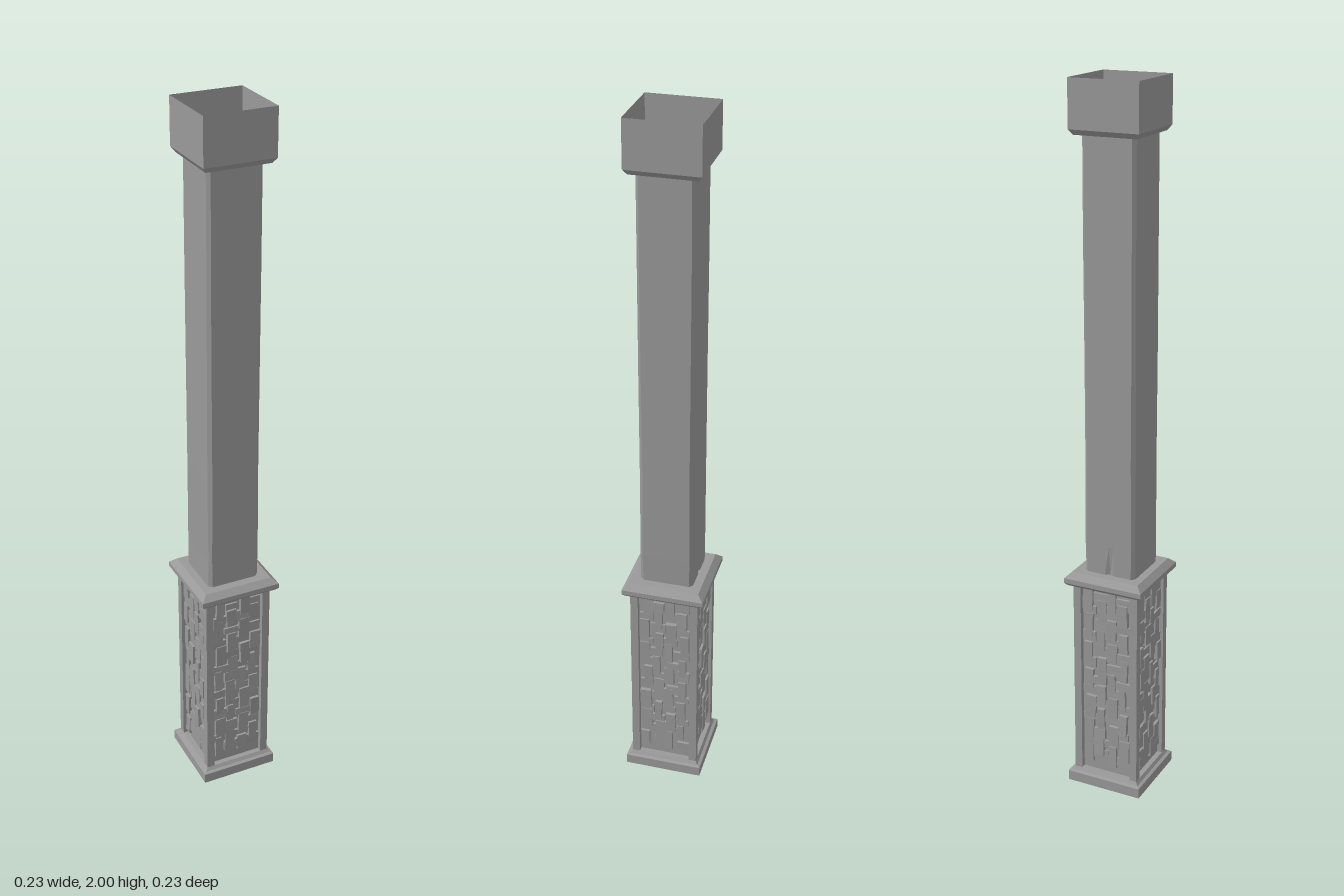
import * as THREE from 'three';

const mat = new THREE.MeshStandardMaterial({ color: 0x999999, flatShading: true, side: THREE.DoubleSide });

let seed = 7;
const rand = () => (seed = (seed * 16807) % 2147483647) / 2147483647;
const jitter = (a) => (rand() - 0.5) * 2 * a;

function add(parent, name, geometry, x = 0, y = 0, z = 0) {
  const mesh = new THREE.Mesh(geometry, mat);
  mesh.name = name;
  mesh.position.set(x, y, z);
  parent.add(mesh);
  return mesh;
}

// Square outline with cut corners and three points along each side, at height y
function squareRing(half, y, cut = 0) {
  const points = [];
  for (let i = 0; i < 4; i++) {
    for (const z of [-half + cut, -0.014, 0, 0.014, half - cut]) {
      points.push(new THREE.Vector3(half, y, z).applyAxisAngle(new THREE.Vector3(0, 1, 0), -i * Math.PI / 2));
    }
  }
  return points;
}

// Skin through a list of rings, open at both ends
function loft(rings) {
  const n = rings[0].length, index = [];
  for (let r = 0; r < rings.length - 1; r++) {
    for (let i = 0; i < n; i++) {
      const a = r * n + i, b = r * n + (i + 1) % n;
      index.push(a, a + n, b, b, a + n, b + n);
    }
  }
  const geometry = new THREE.BufferGeometry().setFromPoints(rings.flat());
  geometry.setIndex(index);
  geometry.computeVertexNormals();
  return geometry;
}

const squareLathe = (profile) => loft(profile.map(([half, y]) => squareRing(half, y)));

// Carved panel: overlapping upright and lying blocks set through a thin sheet, facing +z
function carvedPanel() {
  const panel = new THREE.Group();
  panel.name = 'carvedPanel';
  add(panel, 'panelSheet', new THREE.PlaneGeometry(0.16, 0.6), 0, 0.335, 0.083);
  const back = 0.077, rows = 13, cols = 4;
  for (let r = 0; r < rows; r++) {
    for (let c = 0; c < cols; c++) {
      const upright = (r + c) % 2 === 0;
      const w = (upright ? 0.026 : 0.042) + jitter(0.007);
      const h = (upright ? 0.062 : 0.028) + jitter(0.01);
      const depth = (upright ? 0.016 : 0.013) + jitter(0.002);
      const x = THREE.MathUtils.clamp((c - 1.5) * 0.036 + jitter(0.007), -0.073 + w / 2, 0.073 - w / 2);
      const y = THREE.MathUtils.clamp(0.09 + r * 0.042 + jitter(0.008), 0.065 + h / 2, 0.622 - h / 2);
      const block = add(panel, 'carvedBlock', new THREE.BoxGeometry(w, h, depth), x, y, back + depth / 2);
      block.rotation.set(jitter(0.03), jitter(0.04), jitter(0.04));
    }
  }
  return panel;
}

export function createModel() {
  const model = new THREE.Group();
  model.name = 'column';

  // Hollow plinth with a sloping inner lip
  add(model, 'plinth', squareLathe([
    [0.067, 0.035], [0.085, 0.003], [0.088, 0], [0.113, 0], [0.113, 0.03], [0.104, 0.033], [0.098, 0.042], [0.08, 0.042],
  ]));

  // Corner posts framing the panels
  for (const x of [-1, 1]) {
    for (const z of [-1, 1]) {
      add(model, 'cornerPost', new THREE.BoxGeometry(0.022, 0.595, 0.022), x * 0.087, 0.3375, z * 0.087);
    }
  }

  // Four carved sides
  for (let i = 0; i < 4; i++) {
    const panel = carvedPanel();
    panel.rotation.y = i * Math.PI / 2;
    model.add(panel);
  }

  // Collar over the carved base
  add(model, 'collar', squareLathe([
    [0.08, 0.628], [0.11, 0.628], [0.117, 0.636], [0.117, 0.65], [0.1, 0.666], [0.068, 0.666],
  ]));

  // Worn shaft with cut corners and a split low on the back
  const levels = [0.66, 0.75, 1, 1.3, 1.6, 1.865];
  add(model, 'shaft', loft(levels.map((y, k) => {
    const shiftX = jitter(0.0006) - 0.002, shiftZ = jitter(0.0006) - 0.001;
    const ring = squareRing(0.0755, y, 0.009 + jitter(0.0015));
    for (const p of ring) {
      if (k === 0 && p.z < -0.07 && Math.abs(p.x) < 0.001) p.z += 0.007;
      p.x += shiftX;
      p.z += shiftZ;
    }
    return ring;
  })));

  // Open capital with a bevelled underside
  add(model, 'capital', squareLathe([[0.077, 1.86], [0.088, 1.86], [0.098, 1.874], [0.098, 2]]));

  return model;
}
